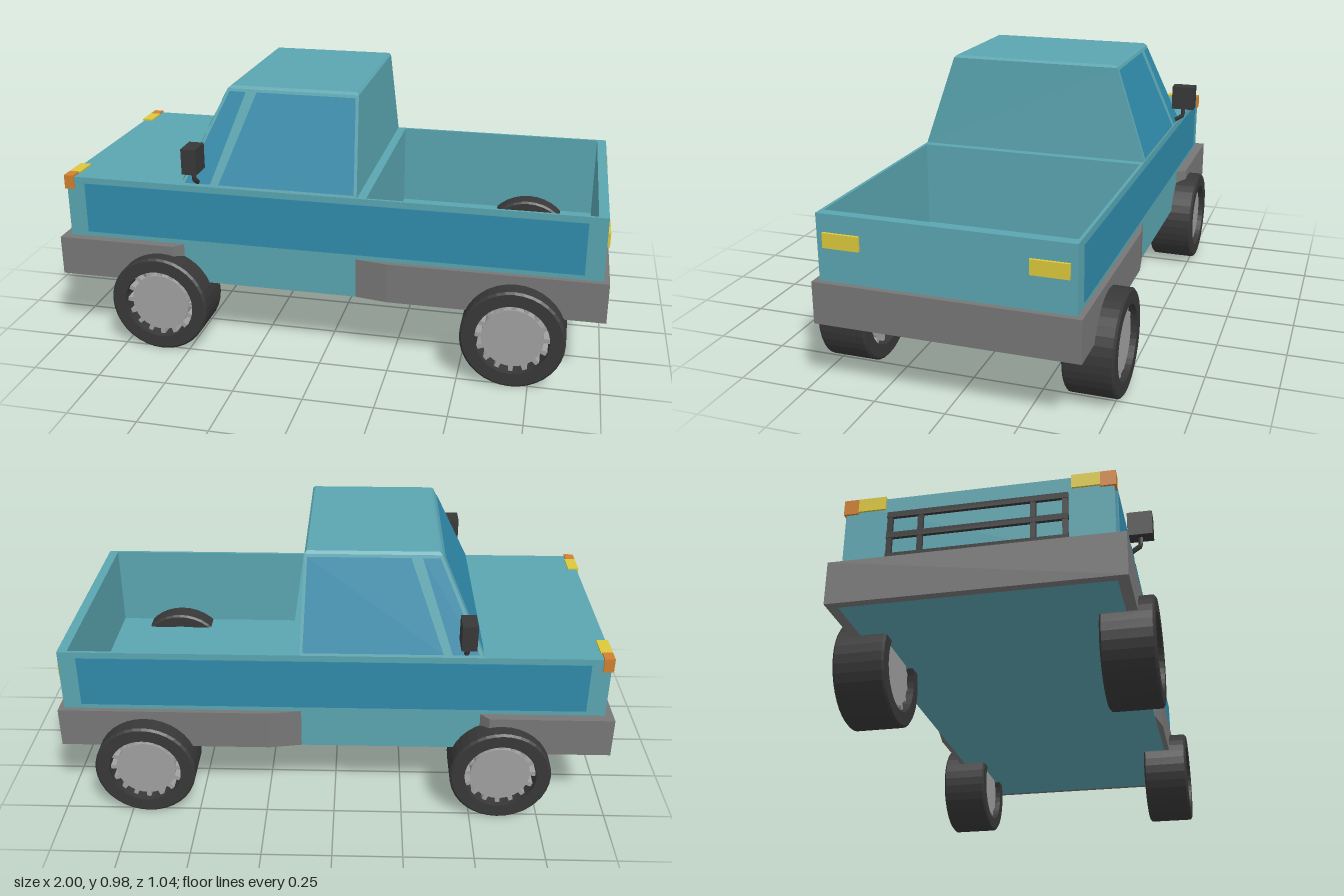
import * as THREE from 'three';

const mat = (color) => new THREE.MeshStandardMaterial({ color, flatShading: true });
const paint = mat(0x5aa5b0);
const glass = mat(0x2f8aaa);
glass.side = THREE.DoubleSide;
const grey = mat(0x777777);
const dark = mat(0x383838);
const rimGrey = mat(0xa0a0a0);
const yellow = mat(0xdcc83c);
const orange = mat(0xd08030);

function add(parent, name, geometry, material) {
  const mesh = new THREE.Mesh(geometry, material);
  mesh.name = name;
  parent.add(mesh);
  return mesh;
}

// Box given by its extents along each axis
function box(parent, name, material, [x0, x1], [y0, y1], [z0, z1]) {
  const g = new THREE.BoxGeometry(x1 - x0, y1 - y0, Math.abs(z1 - z0));
  g.translate((x0 + x1) / 2, (y0 + y1) / 2, (z0 + z1) / 2);
  return add(parent, name, g, material);
}

// Vertical prism from a plan outline of [x, z] points
function prism(points, y0, y1, hole) {
  const toShape = (p) => p.map(([x, z]) => new THREE.Vector2(x, -z));
  const shape = new THREE.Shape(toShape(points));
  if (hole) shape.holes.push(new THREE.Path(toShape(hole)));
  const g = new THREE.ExtrudeGeometry(shape, { depth: y1 - y0, bevelEnabled: false });
  return g.rotateX(-Math.PI / 2).translate(0, y0, 0);
}

const rect = (x0, x1, z) => [[x0, z], [x1, z], [x1, -z], [x0, -z]];

// Box whose top and bottom rectangles differ: each is [y, x0, x1, halfZ]
function frustum(bottom, top) {
  const g = new THREE.BoxGeometry(1, 1, 1);
  const p = g.attributes.position;
  for (let i = 0; i < p.count; i++) {
    const [y, x0, x1, z] = p.getY(i) > 0 ? top : bottom;
    p.setXYZ(i, p.getX(i) < 0 ? x0 : x1, y, Math.sign(p.getZ(i)) * z);
  }
  g.computeVertexNormals();
  return g;
}

// Thin four-cornered pane
function quad(a, b, c, d) {
  const g = new THREE.BufferGeometry();
  g.setAttribute('position', new THREE.Float32BufferAttribute([a, b, c, a, c, d].flat(), 3));
  g.computeVertexNormals();
  return g;
}

function createWheel() {
  const wheel = new THREE.Group();
  wheel.name = 'wheel';
  // Hollow tyre, lathed round its axle and turned to face z
  const profile = [
    [0.13, -0.087], [0.175, -0.087], [0.183, -0.08], [0.183, 0.08],
    [0.175, 0.087], [0.13, 0.087], [0.13, -0.087],
  ].map(([r, y]) => new THREE.Vector2(r, y));
  add(wheel, 'tyre', new THREE.LatheGeometry(profile, 36).rotateX(Math.PI / 2), dark);
  add(wheel, 'hub', new THREE.CylinderGeometry(0.108, 0.108, 0.14, 32).rotateX(Math.PI / 2), rimGrey);
  // Short spokes bridge the gap between hub and tyre
  for (let i = 0; i < 16; i++) {
    const spoke = new THREE.BoxGeometry(0.032, 0.016, 0.13).translate(0.118, 0, 0);
    add(wheel, 'spoke', spoke.rotateZ((i / 16) * Math.PI * 2), rimGrey);
  }
  return wheel;
}

export function createModel() {
  const truck = new THREE.Group();
  truck.name = 'pickupTruck';

  // Lower body with the open load bed
  box(truck, 'floor', paint, [-0.97, 0.98], [0.25, 0.31], [-0.433, 0.433]);
  add(truck, 'body', prism(rect(-0.97, 0.98, 0.433), 0.31, 0.628, rect(0.155, 0.945, 0.422)), paint);

  // Cab with a slightly bevelled roof
  add(truck, 'cab', frustum([0.628, -0.525, 0.123, 0.433], [0.967, -0.37, 0.106, 0.318]), paint);
  add(truck, 'roof', frustum([0.967, -0.37, 0.106, 0.318], [0.976, -0.36, 0.098, 0.308]), paint);

  // Windscreen lies just in front of the sloping cab face
  const screenPoint = (t, z) => [-0.529 + 0.155 * t, 0.63 + 0.339 * t, z];
  add(truck, 'windscreen', quad(
    screenPoint(0.03, -0.41), screenPoint(0.03, 0.41),
    screenPoint(0.95, 0.3), screenPoint(0.95, -0.3)), glass);

  // Bumpers wrap round the ends and taper into the flanks
  const frontBumper = [
    [-1, -0.468], [-0.555, -0.468], [-0.525, -0.433], [-0.97, -0.433],
    [-0.97, 0.433], [-0.525, 0.433], [-0.555, 0.468], [-1, 0.468],
  ];
  const rearBumper = [
    [1, -0.453], [0.235, -0.453], [0.12, -0.433], [0.98, -0.433],
    [0.98, 0.433], [0.12, 0.433], [0.235, 0.453], [1, 0.453],
  ];
  add(truck, 'frontBumper', prism(frontBumper, 0.25, 0.397), grey);
  add(truck, 'rearBumper', prism(rearBumper, 0.25, 0.397), grey);

  // Grille guard: rails and uprights
  for (const y of [0.41, 0.485, 0.56])
    box(truck, 'grilleRail', dark, [-0.982, -0.966], [y - 0.01, y + 0.01], [-0.29, 0.29]);
  for (const z of [-0.28, -0.18, 0.18, 0.28])
    box(truck, 'grilleUpright', dark, [-0.98, -0.966], [0.4, 0.57], [z - 0.009, z + 0.009]);

  for (const s of [-1, 1]) {
    // Side windows and coloured flank
    const sidePoint = (x, y) => [x, y, s * (0.436 - (y - 0.628) * (0.115 / 0.339))];
    const pane = (name, x0, x1, x2, x3) => add(truck, name, quad(
      sidePoint(x0, 0.638), sidePoint(x1, 0.638), sidePoint(x2, 0.958), sidePoint(x3, 0.958)), glass);
    pane('quarterWindow', -0.508, -0.413, -0.302, -0.362);
    pane('sideWindow', -0.382, 0.112, 0.096, -0.262);
    box(truck, 'sidePanel', glass, [-0.9, 0.915], [0.415, 0.605], [s * 0.43, s * 0.436]);

    // Lamps
    box(truck, 'headlamp', yellow, [-0.977, -0.935], [0.588, 0.634], [s * 0.3, s * 0.39]);
    box(truck, 'frontIndicator', orange, [-0.977, -0.94], [0.582, 0.634], [s * 0.39, s * 0.439]);
    box(truck, 'tailLamp', yellow, [0.975, 0.99], [0.515, 0.566], [s * 0.283, s * 0.41]);

    // Door mirror on a bent stalk
    box(truck, 'mirror', dark, [-0.488, -0.434], [0.697, 0.79], [s * 0.418, s * 0.507]);
    const stalk = new THREE.CurvePath();
    const bend = [[0.425, 0.642], [0.46, 0.665], [0.462, 0.705]]
      .map(([z, y]) => new THREE.Vector3(-0.46, y, s * z));
    stalk.add(new THREE.LineCurve3(bend[0], bend[1]));
    stalk.add(new THREE.LineCurve3(bend[1], bend[2]));
    add(truck, 'mirrorStalk', new THREE.TubeGeometry(stalk, 8, 0.009, 6), dark);

    for (const x of [-0.603, 0.688]) {
      const wheel = createWheel();
      wheel.position.set(x, 0.183, s * 0.433);
      truck.add(wheel);
    }
  }
  return truck;
}
